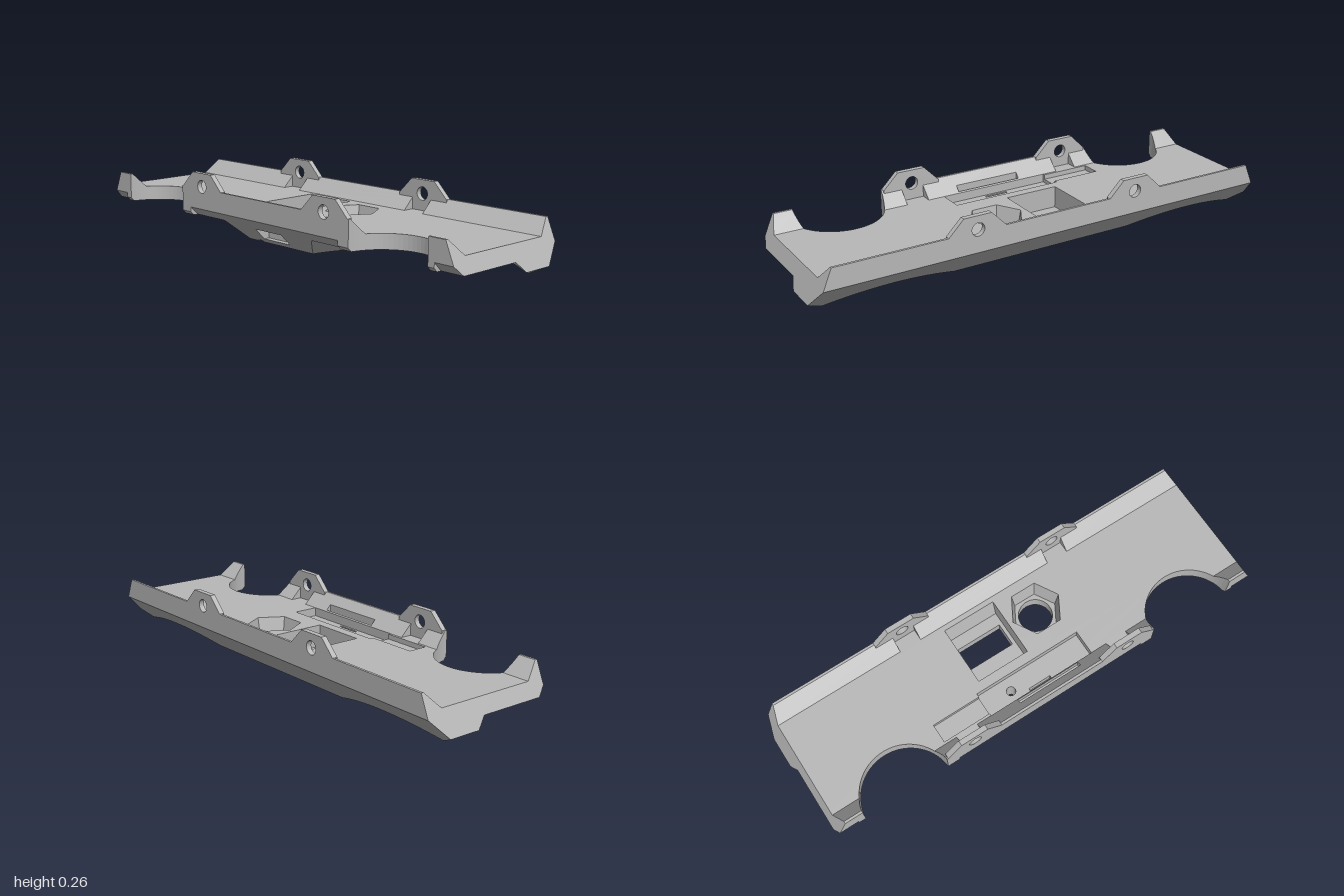
import * as THREE from 'three';

// ---- small solid-modelling kit: a solid is a list of convex polygons {v, n, w} ----
const EPS = 1e-5;

function toSolid(geometry) {
  const p = (geometry.index ? geometry.toNonIndexed() : geometry).attributes.position;
  const polys = [];
  for (let i = 0; i < p.count; i += 3) {
    const v = [0, 1, 2].map(k => new THREE.Vector3().fromBufferAttribute(p, i + k));
    const n = v[1].clone().sub(v[0]).cross(v[2].clone().sub(v[0]));
    if (n.length() < 1e-10) continue;
    n.normalize();
    polys.push({ v, n, w: n.dot(v[0]) });
  }
  return polys;
}

// Cut a polygon by a plane into its front and back parts
function split(plane, poly) {
  const d = poly.v.map(p => plane.n.dot(p) - plane.w);
  const hasFront = d.some(x => x > EPS), hasBack = d.some(x => x < -EPS);
  if (!hasFront && !hasBack) return { flat: true };
  if (!hasBack) return { front: poly };
  if (!hasFront) return { back: poly };
  const f = [], b = [];
  poly.v.forEach((p, i) => {
    const j = (i + 1) % poly.v.length;
    if (d[i] >= -EPS) f.push(p);
    if (d[i] <= EPS) b.push(p);
    if ((d[i] > EPS && d[j] < -EPS) || (d[i] < -EPS && d[j] > EPS)) {
      const m = p.clone().lerp(poly.v[j], d[i] / (d[i] - d[j]));
      f.push(m);
      b.push(m);
    }
  });
  return {
    front: f.length > 2 ? { ...poly, v: f } : null,
    back: b.length > 2 ? { ...poly, v: b } : null
  };
}

function buildTree(polys) {
  if (!polys.length) return null;
  const plane = polys[0], front = [], back = [];
  for (let i = 1; i < polys.length; i++) {
    const s = split(plane, polys[i]);
    if (s.front) front.push(s.front);
    if (s.back) back.push(s.back);
  }
  return { n: plane.n, w: plane.w, front: buildTree(front), back: buildTree(back) };
}

function sortInto(tree, poly, out) {
  const s = split(tree, poly);
  if (s.flat) s[tree.n.dot(poly.n) > 0 ? 'front' : 'back'] = poly;
  if (s.front) tree.front ? sortInto(tree.front, s.front, out) : out.outside.push(s.front);
  if (s.back) tree.back ? sortInto(tree.back, s.back, out) : out.inside.push(s.back);
}

function keep(polys, tree, side) {
  return polys.flatMap(poly => {
    const out = { inside: [], outside: [] };
    sortInto(tree, poly, out);
    const other = side === 'inside' ? out.outside : out.inside;
    return other.length ? out[side] : [poly];
  });
}

const flip = p => ({ v: [...p.v].reverse(), n: p.n.clone().negate(), w: -p.w });
const add = (a, b) => [...keep(a, buildTree(b), 'outside'), ...keep(b, buildTree(a), 'outside')];
const cut = (a, b) => [...keep(a, buildTree(b), 'outside'), ...keep(b, buildTree(a), 'inside').map(flip)];

// ---- primitive solids ----
function extrude(points, depth) {
  const shape = new THREE.Shape(points.map(([x, y]) => new THREE.Vector2(x, y)));
  return new THREE.ExtrudeGeometry(shape, { depth, bevelEnabled: false });
}
// Profile in x, y run along z
const alongZ = (pts, z0, z1) => toSolid(extrude(pts, z1 - z0).translate(0, 0, z0));
// Profile in z, y run along x
const alongX = (pts, x0, x1) =>
  toSolid(extrude(pts.map(([z, y]) => [-z, y]), x1 - x0).rotateY(Math.PI / 2).translate(x0, 0, 0));
const box = (x0, x1, y0, y1, z0, z1) => alongZ([[x0, y0], [x1, y0], [x1, y1], [x0, y1]], z0, z1);
// Upright round or many-sided solid
const drum = (x, z, y0, y1, rTop, rBottom, sides) =>
  toSolid(new THREE.CylinderGeometry(rTop, rBottom, y1 - y0, sides)
    .rotateY(Math.PI / 2).translate(x, (y0 + y1) / 2, z));

function buildPlate() {
  // Tray section: chamfered underside, flat floor, sloped side walls
  const half = [[0.17, 0], [0.28, 0.11], [0.28, 0.195], [0.27, 0.195], [0.21, 0.135]];
  let s = alongX([...half, ...half.map(([z, y]) => [-z, y]).reverse()], -1.05, 1.05);

  for (const m of [-1, 1]) {
    const mir = pts => pts.map(([x, y]) => [m * x, y]);
    const span = (a, b) => (m > 0 ? [a, b] : [-b, -a]);

    // Slanted ends
    s = cut(s, alongZ(mir([[0.83, -0.05], [0.93, 0], [1, 0.035], [0.91, 0.247], [1.2, 0.247], [1.2, -0.05]]), -0.4, 0.4));
    // Squared lip beside the front cutout
    s = add(s, alongX([[0.22, 0.075], [0.265, 0.075], [0.28, 0.09], [0.28, 0.125], [0.22, 0.125]], ...span(0.43, 0.885)));
    // Conical well underneath and round front cutout
    s = cut(s, drum(m * 0.67, 0.24, -0.05, 0.075, 0.415, 0.54, 80));
    s = cut(s, drum(m * 0.67, 0.29, -0.1, 0.3, 0.187, 0.187, 64));

    // Lugs on the front and back walls
    for (const f of [-1, 1]) {
      const z = (a, b) => (f > 0 ? [a, b] : [-b, -a]);
      s = cut(s, box(...span(0.305, 0.4), 0.135, 0.3, ...z(0.2, 0.258)));
      s = add(s, alongZ(mir([[0.478, 0.15], [0.478, 0.195], [0.415, 0.258],
        [0.298, 0.258], [0.235, 0.195], [0.235, 0.15]]), ...z(0.258, 0.28)));
    }
    // Lug holes
    const pin = new THREE.CylinderGeometry(0.027, 0.027, 0.8, 24).rotateX(Math.PI / 2);
    s = cut(s, toSolid(pin.translate(m * 0.355, 0.203, 0)));
  }

  // Square pocket with a sloped back and a through opening
  s = cut(s, alongX([[0.065, 0.16], [-0.194, 0.16], [-0.17, 0.045], [0.065, 0.045]], -0.205, 0.025));
  s = cut(s, box(-0.19, 0.01, -0.1, 0.1, -0.12, -0.02));
  // Hexagonal nut pocket with a bore
  s = cut(s, drum(0.155, -0.07, 0.055, 0.15, 0.113, 0.095, 6));
  s = cut(s, drum(0.155, -0.07, -0.1, 0.1, 0.07, 0.07, 40));
  // Shallow recesses behind the front wall
  s = cut(s, box(-0.24, 0.235, 0.1, 0.25, 0.105, 0.21));
  s = cut(s, box(-0.45, -0.23, 0.115, 0.25, 0.12, 0.2));
  s = cut(s, box(-0.12, 0.165, 0.11, 0.25, 0.215, 0.235));
  // Front window, slit above it and a small drain hole
  s = cut(s, box(-0.075, 0.075, 0.02, 0.065, 0.165, 0.4));
  s = cut(s, box(-0.05, 0.05, 0.04, 0.2, 0.19, 0.2));
  s = cut(s, drum(-0.115, 0.16, -0.1, 0.2, 0.019, 0.019, 20));
  return s;
}

function toGeometry(polys) {
  const pos = [];
  for (const { v } of polys)
    for (let i = 2; i < v.length; i++)
      for (const p of [v[0], v[i - 1], v[i]]) pos.push(p.x, p.y, p.z);
  const g = new THREE.BufferGeometry();
  g.setAttribute('position', new THREE.Float32BufferAttribute(pos, 3));
  g.computeVertexNormals();
  return g;
}

export function createModel() {
  const grey = new THREE.MeshStandardMaterial({ color: 0xb8b8b8 });
  grey.name = 'light grey';
  const plate = new THREE.Mesh(toGeometry(buildPlate()), grey);
  plate.name = 'mountingPlate';
  const group = new THREE.Group();
  group.name = 'mountingTray';
  group.add(plate);
  return group;
}
